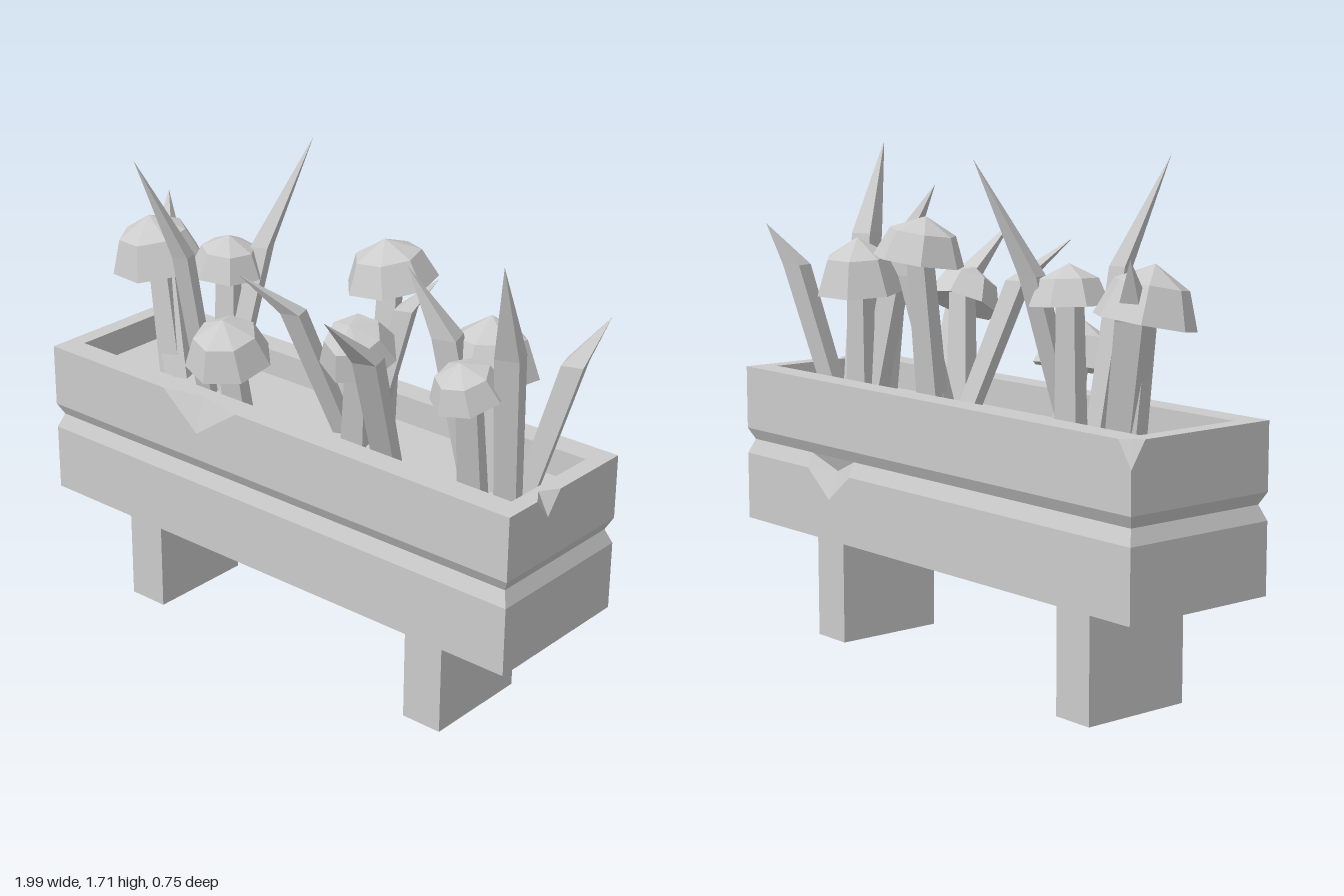
import * as THREE from 'three';

const material = new THREE.MeshStandardMaterial({ color: 0xcccccc, flatShading: true, side: THREE.DoubleSide });
const V = (x, y, z) => new THREE.Vector3(x, y, z);

// Skin a stack of closed rings (counter-clockwise from above, bottom to top)
function loft(rings, isMid = () => false) {
  const points = [];
  for (let i = 0; i < rings.length - 1; i++) {
    const lo = rings[i], hi = rings[i + 1], n = lo.length;
    for (let j = 0; j < n; j++) {
      const k = (j + 1) % n;
      if (isMid(k)) points.push(lo[j], lo[k], hi[j], lo[k], hi[k], hi[j]);
      else points.push(lo[j], lo[k], hi[k], lo[j], hi[k], hi[j]);
    }
  }
  const geometry = new THREE.BufferGeometry().setFromPoints(points);
  geometry.computeVertexNormals();
  return geometry;
}

function addMesh(parent, name, geometry, x = 0, y = 0, z = 0) {
  const mesh = new THREE.Mesh(geometry, material);
  mesh.name = name;
  mesh.position.set(x, y, z);
  parent.add(mesh);
  return mesh;
}

// Trough with a groove all round and four chipped edges
function planterGeometry() {
  const outline = [
    [-1, 0.2], [-0.46, 0.2], [-0.31, 0.2], [-0.13, 0.2], [0.98, 0.2],
    [0.98, 0.06], [0.98, 0], [0.98, -0.06], [0.98, -0.37],
    [0.61, -0.37], [0.49, -0.37], [0.37, -0.37],
    [-0.945, -0.37], [-1, -0.37], [-1, -0.315],
  ];
  const FRONT = 2, RIGHT = 6, BACK = 10, CORNER = 13;
  const ring = (y, inX = 0, inZ = inX) => outline.map(([x, z]) => V(
    THREE.MathUtils.clamp(x, -1 + inX, 0.98 - inX), y,
    THREE.MathUtils.clamp(z, -0.37 + inZ, 0.2 - inZ)));
  const chipBase = ring(0.8);
  chipBase[RIGHT].y = 0.85;
  chipBase[CORNER].y = 0.84;
  const lip = ring(0.925);
  lip[FRONT].z = 0.16;
  lip[RIGHT].x = 0.94;
  lip[CORNER].set(-0.973, 0.925, -0.343);
  const grooveLow = ring(0.615);
  grooveLow[BACK].z = -0.33;
  return loft([
    outline.map(() => V(0, 0.38, -0.085)), ring(0.38), ring(0.52), grooveLow,
    ring(0.665, 0.02), ring(0.705), chipBase, lip,
    ring(0.925, 0.06, 0.09), ring(0.82, 0.06, 0.09),
  ], (j) => [FRONT, RIGHT, BACK, CORNER].includes(j));
}

// Four-sided stalk through base, bend and tip, with a half-width at each
function stalkGeometry(path, widths) {
  return loft(path.map(([x, y, z], i) => [0, 1, 2, 3].map((k) => {
    const a = -k * Math.PI / 2 + 0.45;
    return V(x + Math.cos(a) * widths[i], y, z + Math.sin(a) * widths[i]);
  })));
}

// Faceted cap: hollow underside, slanted sides and a blunt peak
function capGeometry(r, h) {
  const profile = [[0, 0.25 * h], [0.35 * r, 0.2 * h], [r, 0], [0.72 * r, 0.65 * h], [0, h]];
  const geometry = new THREE.LatheGeometry(profile.map(([x, y]) => new THREE.Vector2(x, y)), 7);
  return geometry;
}

export function createModel() {
  const model = new THREE.Group();
  model.name = 'planter';

  addMesh(model, 'trough', planterGeometry());
  addMesh(model, 'soil', new THREE.BoxGeometry(1.86, 0.4, 0.39), -0.01, 0.63, -0.085);
  for (const x of [-0.665, 0.595]) {
    addMesh(model, 'foot', new THREE.BoxGeometry(0.15, 0.38, 0.395), x, 0.19, -0.0925);
  }

  // Bent pointed leaves: base, bend, tip, half-width
  const leaves = [
    [[-0.47, 0.8, -0.03], [-0.47, 1.36, 0.08], [-0.545, 1.705, 0.22], 0.036],
    [[-0.41, 0.8, -0.06], [-0.38, 1.34, -0.21], [-0.295, 1.7, -0.375], 0.04],
    [[0.09, 0.8, -0.11], [0, 1.28, 0.06], [-0.11, 1.42, 0.2], 0.042],
    [[0.35, 0.8, -0.01], [0.405, 1.26, 0.17], [0.397, 1.44, 0.37], 0.05],
    [[0.18, 0.8, -0.1], [0.27, 1.29, -0.18], [0.355, 1.395, -0.24], 0.04],
    [[0.68, 0.8, -0.04], [0.6, 1.35, 0.03], [0.495, 1.57, 0.1], 0.05],
    [[0.83, 0.8, 0], [0.88, 1.38, 0.09], [0.932, 1.705, 0.21], 0.05],
    [[0.81, 0.8, -0.1], [0.92, 1.28, -0.19], [0.99, 1.425, -0.27], 0.045],
    [[-0.65, 0.8, -0.08], [-0.77, 1.23, -0.14], [-0.85, 1.425, -0.24], 0.06],
  ];
  for (const [base, bend, tip, w] of leaves) {
    addMesh(model, 'leaf', stalkGeometry([base, bend, tip], [w, w * 1.1, 0]));
  }

  // Caps on stalks: rim centre, radius, height, tilt about x and z, spin, stalk base x and z
  const flowers = [
    [[-0.755, 1.22, -0.09], 0.165, 0.18, 0.15, 0.08, 0.3, -0.68, -0.08],
    [[-0.465, 1.25, -0.13], 0.13, 0.13, 0.1, -0.1, 0.8, -0.44, -0.1],
    [[-0.305, 1.02, 0.04], 0.15, 0.16, 0.25, -0.06, 0.1, -0.3, 0],
    [[0.175, 1.345, -0.22], 0.155, 0.15, 0.05, 0.12, 0.5, 0.2, -0.14],
    [[0.235, 1.18, 0.01], 0.13, 0.14, 0.6, -0.15, 0.9, 0.18, -0.04],
    [[0.665, 1.2, -0.1], 0.16, 0.19, -0.1, 0.05, 0.2, 0.69, -0.08],
    [[0.755, 1.23, 0.125], 0.12, 0.12, 0.25, 0.08, 0.7, 0.72, 0.03],
  ];
  for (const [centre, r, h, tiltX, tiltZ, spin, baseX, baseZ] of flowers) {
    const cap = addMesh(model, 'cap', capGeometry(r, h), ...centre);
    cap.rotation.set(tiltX, spin, tiltZ);
    const [x, y, z] = centre;
    addMesh(model, 'stalk', stalkGeometry([[baseX, 0.8, baseZ], [x, y + 0.06, z]], [0.055, 0.045]));
  }
  return model;
}
